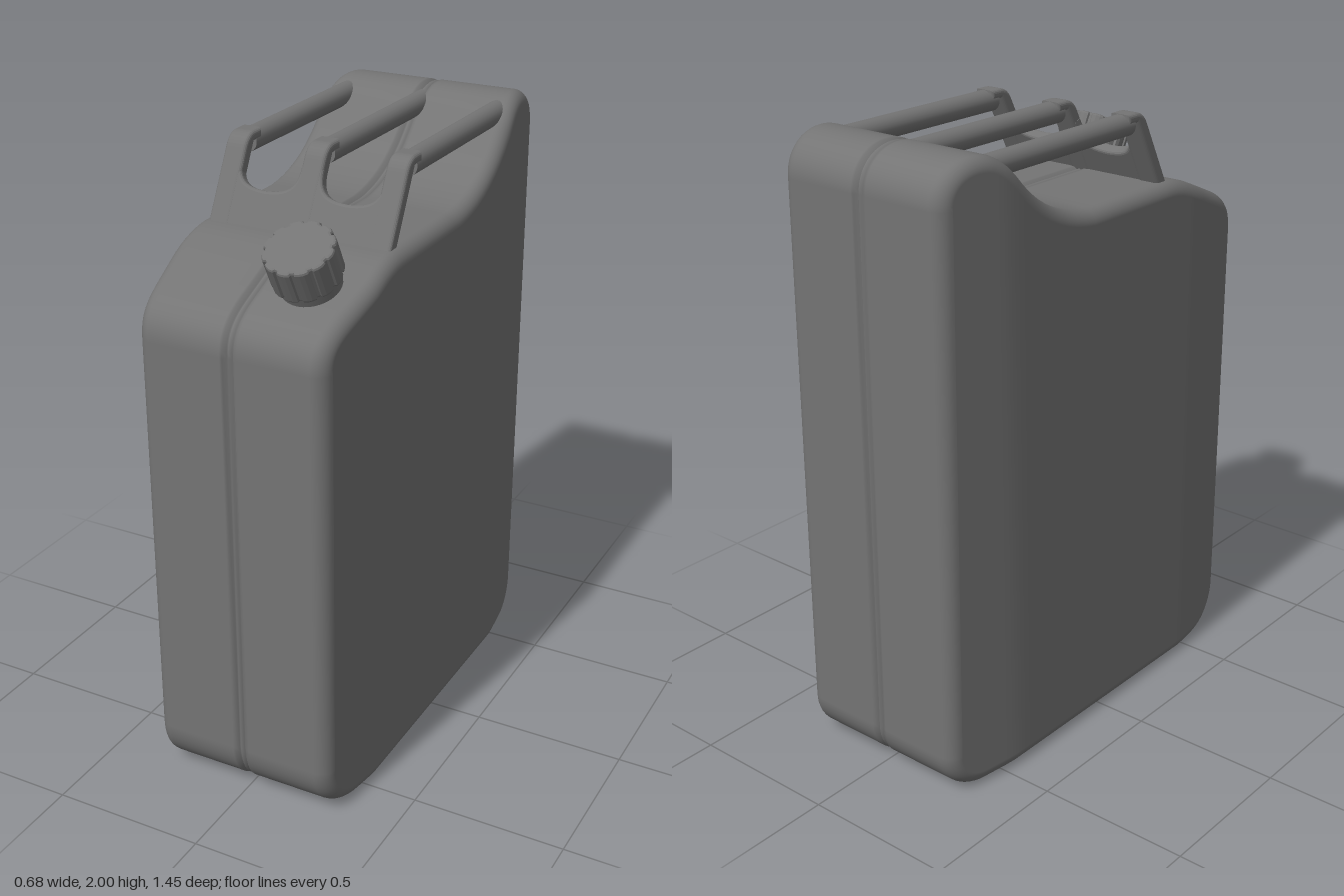
import * as THREE from 'three';

const material = new THREE.MeshStandardMaterial({ color: 0x747474, side: THREE.DoubleSide });

function part(name, geometry, parent) {
  const mesh = new THREE.Mesh(geometry, material);
  mesh.name = name;
  parent.add(mesh);
  return mesh;
}

// height of a front-to-back outline at depth z
function heightAt(points, z) {
  for (let i = 1; i < points.length; i++) {
    const a = points[i - 1], b = points[i];
    if (z <= a.x && z >= b.x && a.x > b.x) return a.y + (b.y - a.y) * (a.x - z) / (a.x - b.x);
  }
  return points[points.length - 1].y;
}

// Can body: side outline swept across x, with rounded edges, tapered ends and a centre seam
function bodyGeometry() {
  const E = 0.725, N = 56, R = 0.045;
  const top = new THREE.Path().moveTo(E, 1.5)
    .bezierCurveTo(E, 1.58, 0.68, 1.615, 0.61, 1.645)
    .lineTo(0.44, 1.715)
    .quadraticCurveTo(0.37, 1.745, 0.3, 1.745)
    .lineTo(-0.08, 1.745)
    .bezierCurveTo(-0.24, 1.76, -0.34, 1.83, -0.42, 1.92)
    .bezierCurveTo(-0.48, 1.98, -0.52, 2, -0.58, 2)
    .bezierCurveTo(-0.66, 2, -E, 1.95, -E, 1.87).getPoints(24);
  const bottom = new THREE.Path().moveTo(E, 0.17)
    .bezierCurveTo(E, 0.07, 0.65, 0, 0.55, 0)
    .lineTo(-0.58, 0)
    .bezierCurveTo(-0.66, 0, -E, 0.06, -E, 0.14).getPoints(24);

  const depths = Array.from({ length: N + 1 }, (_, i) => E * Math.cos(Math.PI * i / N));
  const loop = [
    ...depths.map(z => [z, heightAt(top, z)]),
    ...depths.map(z => [z, heightAt(bottom, z)]).reverse(),
  ];
  const M = loop.length;
  const normals = loop.map((_, i) => {
    const p = loop[(i + M - 1) % M], q = loop[(i + 1) % M];
    const dz = q[0] - p[0], dy = q[1] - p[1], l = Math.hypot(dz, dy);
    return [dy / l, -dz / l];
  });
  const halfWidth = z => 0.34 - 0.035 * Math.max(0, Math.abs(z) - 0.46) / 0.26;

  // stations: seam groove with a weld bead, then the rounded edge
  const half = [[0.007, 0.012], [0.011, 0.012], [0.019, 0], [0.028, 0]].map(([x, inset]) => ({ inset, x: () => x }));
  for (let k = 0; k <= 7; k++) {
    const a = k / 7 * Math.PI / 2;
    half.push({ inset: R * (1 - Math.cos(a)), x: z => halfWidth(z) - R + R * Math.sin(a) });
  }
  const stations = [
    ...half.map(s => ({ inset: s.inset, x: z => -s.x(z) })).reverse(),
    { inset: 0.003, x: () => 0 },
    ...half,
  ];

  const pos = [], idx = [];
  for (const s of stations) {
    loop.forEach(([z, y], i) => {
      const zz = z - normals[i][0] * s.inset;
      pos.push(s.x(zz), y - normals[i][1] * s.inset, zz);
    });
  }
  for (let j = 0; j < stations.length - 1; j++) {
    for (let i = 0; i < M; i++) {
      const a = j * M + i, b = j * M + (i + 1) % M, c = a + M, d = b + M;
      idx.push(a, c, b, b, c, d);
    }
  }
  // flat side walls
  const last = (stations.length - 1) * M;
  for (let i = 0; i < N; i++) {
    const t = i, u = i + 1, b = M - 1 - i, v = M - 2 - i;
    idx.push(last + t, last + b, last + u, last + u, last + b, last + v);
    idx.push(t, u, b, u, v, b);
  }
  const g = new THREE.BufferGeometry();
  g.setAttribute('position', new THREE.Float32BufferAttribute(pos, 3));
  g.setIndex(idx);
  g.computeVertexNormals();
  return g;
}

// Sloping leg whose top lip folds back over the bar, drawn from the side
function legGeometry() {
  const s = new THREE.Shape();
  s.moveTo(0.335, 1.725);
  s.lineTo(0.22, 1.945);
  s.quadraticCurveTo(0.2, 1.985, 0.16, 1.985);
  s.lineTo(0.12, 1.985);
  s.lineTo(0.12, 1.953);
  s.lineTo(0.165, 1.953);
  s.lineTo(0.284, 1.725);
  const bevel = 0.012, width = 0.072;
  const g = new THREE.ExtrudeGeometry(s, {
    depth: width - 2 * bevel, bevelSize: bevel, bevelOffset: -bevel, bevelThickness: bevel,
    bevelSegments: 4, curveSegments: 8,
  });
  g.translate(0, 0, bevel - width / 2);
  g.rotateY(-Math.PI / 2);
  return g;
}

// Sloping web joining the three legs, with two rounded cut-outs
function webGeometry() {
  const s = new THREE.Shape();
  s.moveTo(-0.3, -0.02);
  s.lineTo(0.3, -0.02);
  s.lineTo(0.3, 0.2);
  for (const c of [0.137, -0.137]) {
    s.lineTo(c + 0.1, 0.2);
    s.bezierCurveTo(c + 0.1, 0.13, c + 0.07, 0.115, c, 0.112);
    s.bezierCurveTo(c - 0.07, 0.115, c - 0.1, 0.13, c - 0.1, 0.2);
  }
  s.lineTo(-0.3, 0.2);
  const g = new THREE.ExtrudeGeometry(s, {
    depth: 0.02, bevelSize: 0.01, bevelOffset: -0.01, bevelThickness: 0.01, bevelSegments: 3, curveSegments: 12,
  });
  g.translate(0, 0, -0.031);
  g.rotateX(-0.4817);
  g.translate(0, 1.745, 0.3245);
  return g;
}

// Fluted grip of the screw cap, standing along +y
function capGeometry() {
  const lobes = 12, step = Math.PI * 2 / lobes, s = new THREE.Shape();
  for (let i = 0; i < lobes; i++) {
    [[-0.36, 0.105], [-0.12, 0.107], [0.12, 0.107], [0.36, 0.105], [0.42, 0.098], [0.58, 0.098]].forEach(([f, r], k) => {
      const a = (i + f) * step;
      s[i + k ? 'lineTo' : 'moveTo'](r * Math.cos(a), r * Math.sin(a));
    });
  }
  const b = 0.008;
  const g = new THREE.ExtrudeGeometry(s, {
    depth: 0.115 - 2 * b, bevelSize: b, bevelOffset: -b, bevelThickness: b, bevelSegments: 2,
  });
  g.translate(0, 0, b);
  g.rotateX(-Math.PI / 2);
  return g;
}

export function createModel() {
  const model = new THREE.Group();
  model.name = 'fuelCan';
  part('body', bodyGeometry(), model);

  // Three round bars running from the legs into the raised back
  const handle = new THREE.Group();
  handle.name = 'handle';
  model.add(handle);
  const leg = legGeometry();
  const bar = new THREE.CylinderGeometry(0.036, 0.036, 0.675, 24).rotateX(Math.PI / 2);
  [['left', 0.268], ['middle', 0], ['right', -0.268]].forEach(([side, x]) => {
    part(side + 'Leg', leg, handle).position.x = x;
    part(side + 'Bar', bar, handle).position.set(x, 1.948, -0.1825);
  });
  part('handleWeb', webGeometry(), handle);

  // Filler neck and cap, tilted towards the front
  const filler = new THREE.Group();
  filler.name = 'filler';
  filler.position.set(0.157, 1.717, 0.539);
  filler.rotation.x = 0.49;
  model.add(filler);
  part('neck', new THREE.CylinderGeometry(0.09, 0.09, 0.14, 32), filler).position.y = -0.06;
  part('cap', capGeometry(), filler);
  return model;
}
